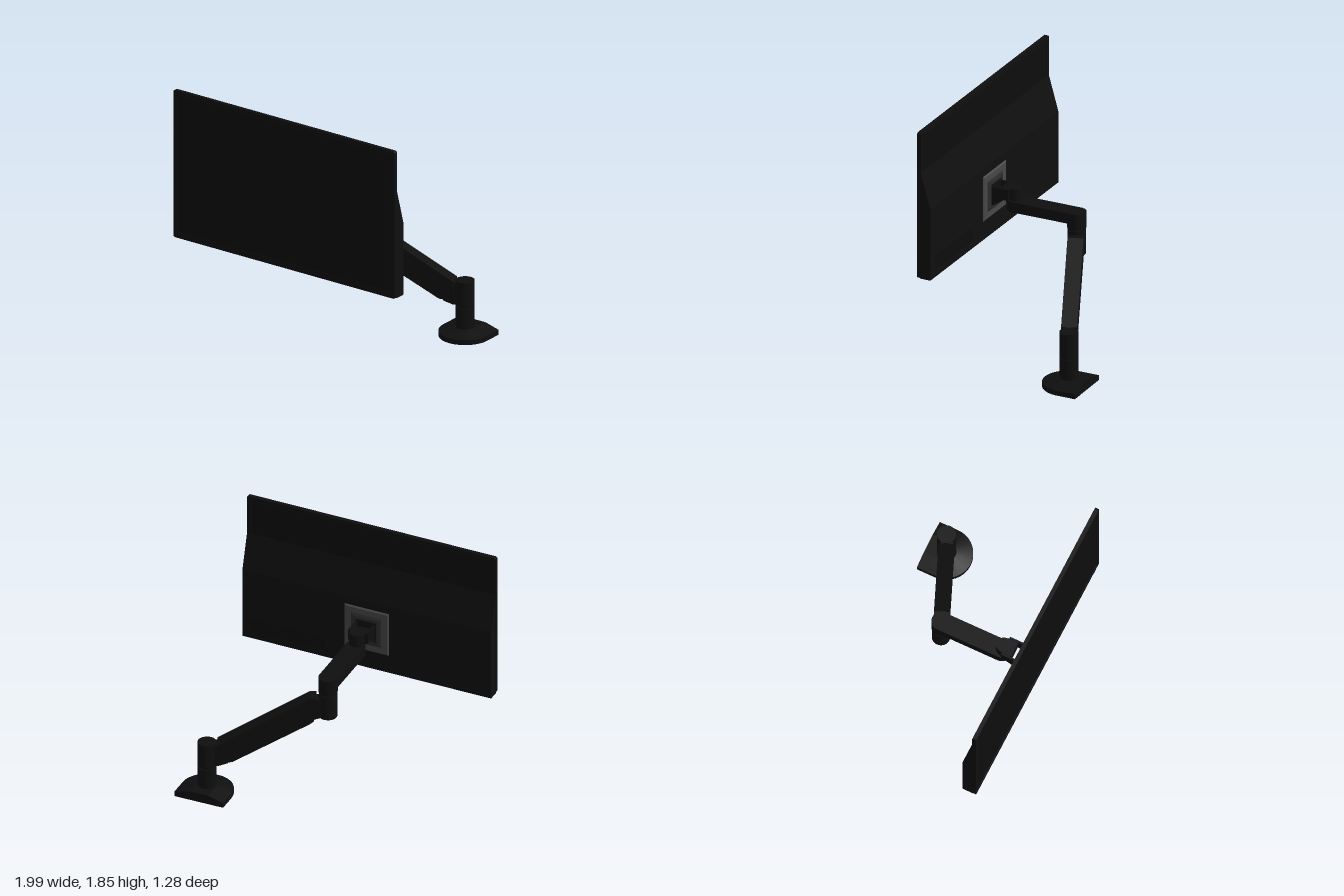
import * as THREE from 'three';
import { toCreasedNormals } from 'three/addons/utils/BufferGeometryUtils.js';
import { ConvexGeometry } from 'three/addons/geometries/ConvexGeometry.js';

const mat = (name, color) => {
  const m = new THREE.MeshStandardMaterial({ color });
  m.name = name;
  return m;
};

export function createModel() {
  const black = mat('black plastic', 0x0f0f0f);
  const screenBlack = mat('screen black', 0x0d0d0d);
  const grey = mat('plate grey', 0x484848);
  const darkGrey = mat('plate dark grey', 0x2c2c2c);

  const model = new THREE.Group();
  model.name = 'monitorOnArm';

  const add = (parent, name, geo, material, x = 0, y = 0, z = 0) => {
    const mesh = new THREE.Mesh(geo, material);
    mesh.name = name;
    mesh.position.set(x, y, z);
    parent.add(mesh);
    return mesh;
  };
  const poly = (pts) => new THREE.Shape(pts.map(([a, b]) => new THREE.Vector2(a, b)));
  const extrude = (shape, depth) =>
    new THREE.ExtrudeGeometry(shape, { depth, bevelEnabled: false, curveSegments: 16 });
  // side profile given as (-z, y), extruded across x and centred on it
  const sideways = (pts, width) => extrude(poly(pts), width).translate(0, 0, -width / 2).rotateY(Math.PI / 2);
  const box = (w, h, d) => new THREE.BoxGeometry(w, h, d);
  const post = (parent, name, r, y0, y1, x, z) =>
    add(parent, name, new THREE.CylinderGeometry(r, r, y1 - y0, 40), black, x, (y0 + y1) / 2, z);

  const roundedRect = (x0, y0, x1, y1, r) => {
    const s = new THREE.Shape();
    s.absarc(x1 - r, y0 + r, r, -Math.PI / 2, 0);
    s.absarc(x1 - r, y1 - r, r, 0, Math.PI / 2);
    s.absarc(x0 + r, y1 - r, r, Math.PI / 2, Math.PI);
    s.absarc(x0 + r, y0 + r, r, Math.PI, Math.PI * 1.5);
    return s;
  };

  // ---- Monitor, turned slightly; its front face is local z = 0
  const monitor = new THREE.Group();
  monitor.name = 'monitor';
  monitor.position.set(-0.005, 0, 0.618);
  monitor.rotation.y = -0.018;
  model.add(monitor);

  const frame = roundedRect(-0.994, 0.7, 0.994, 1.845, 0.015);
  frame.holes.push(poly([[-0.96, 0.745], [-0.96, 1.81], [0.96, 1.81], [0.96, 0.745]]));
  add(monitor, 'bezel', extrude(frame, 0.03), black, 0, 0, -0.03);
  add(monitor, 'screen', box(1.93, 1.075, 0.024), screenBlack, 0, 1.2775, -0.016);
  add(monitor, 'rearHousing',
    sideways([[0.025, 0.7], [0.107, 0.7], [0.107, 1.26], [0.03, 1.53], [0.025, 1.53]], 1.986), black);
  add(monitor, 'powerButton', box(0.03, 0.008, 0.004), screenBlack, 0.92, 0.715, 0.001);
  add(monitor, 'portPanel',
    extrude(poly([[0.3, 0.76], [0.93, 0.76], [0.93, 0.87], [0.36, 0.87]]), 0.003), screenBlack, 0, 0, -0.109);

  // ---- Mounting plate on the back of the monitor
  const plate = (half, halfBack, depth) => {
    const pts = [];
    for (const [h, z] of [[half, 0], [halfBack, -depth]])
      for (const sx of [-1, 1]) for (const sy of [-1, 1]) pts.push(new THREE.Vector3(sx * h, sy * h, z));
    return new ConvexGeometry(pts);
  };
  add(monitor, 'mountingPlate', plate(0.178, 0.165, 0.01), grey, 0, 1.02, -0.106);
  add(monitor, 'mountingPlateRaise', plate(0.12, 0.1, 0.008), darkGrey, 0, 1.02, -0.116);
  add(monitor, 'mountingPlateCentre', plate(0.08, 0.08, 0.006), black, 0, 1.02, -0.123);

  // ---- Tilt head: swivel post, block and two fork cheeks
  post(model, 'headPost', 0.055, 0.99, 1.088, 0, 0.345);
  add(model, 'tiltBlock', box(0.12, 0.085, 0.085), black, 0, 1.043, 0.39);
  for (const side of [-1, 1])
    add(model, 'forkCheek',
      sideways([[-0.5, 0.945], [-0.48, 0.945], [-0.4, 1.0], [-0.36, 1.0], [-0.36, 1.085], [-0.5, 1.085]], 0.014),
      black, side * 0.069);
  add(model, 'tiltPin', new THREE.CylinderGeometry(0.03, 0.03, 0.15, 24).rotateZ(Math.PI / 2), black, 0, 1.043, 0.405);

  // ---- Forearm with round ends, swivelling on the elbow
  const plan = new THREE.Shape();
  plan.absarc(0, 0.155, 0.07, 0, Math.PI);
  plan.absarc(0, -0.33, 0.07, Math.PI, Math.PI * 2);
  add(model, 'forearm', toCreasedNormals(extrude(plan, 0.08).rotateX(-Math.PI / 2), 0.6), black, 0, 0.915, 0);
  post(model, 'elbowCollar', 0.07, 0.872, 0.92, 0, -0.155);
  post(model, 'elbowNeck', 0.06, 0.855, 0.875, 0, -0.155);
  post(model, 'elbowBarrel', 0.067, 0.667, 0.858, 0, -0.155);

  // ---- Sloping arm, drawn from the elbow axis (s = 0) to the base post (s = 0.867)
  const arm = new THREE.Group();
  arm.name = 'slopingArm';
  arm.position.set(0, 0, -0.155);
  arm.rotation.y = 0.396;
  model.add(arm);
  const armPart = (name, pts, width) => add(arm, name, extrude(poly(pts), width), black, 0, 0, -width / 2);
  armPart('armTopCover', [[0.085, 0.7], [0.75, 0.315], [0.8, 0.315], [0.8, 0.43], [0.13, 0.838], [0.085, 0.838]], 0.116);
  armPart('armLowerShell', [[0.1, 0.645], [0.13, 0.62], [0.69, 0.288], [0.75, 0.282], [0.76, 0.4], [0.1, 0.78]], 0.1);
  armPart('armElbowLug', [[0, 0.69], [0.13, 0.645], [0.13, 0.82], [0, 0.82]], 0.09);
  armPart('armBaseLug', [[0.72, 0.275], [0.79, 0.25], [0.867, 0.25], [0.867, 0.42], [0.72, 0.42]], 0.09);

  // ---- Base post
  const [bx, bz] = [0.803, -0.495];
  post(model, 'upperPost', 0.069, 0.235, 0.43, bx, bz);
  post(model, 'postGap', 0.06, 0.22, 0.24, bx, bz);
  post(model, 'lowerPost', 0.069, 0.06, 0.225, bx, bz);

  // ---- Base foot: round at the front, straight at the back, sloping up to the post
  const dRing = (r, y) => {
    const pts = [new THREE.Vector3(-r, y, -0.145), new THREE.Vector3(r, y, -0.145)];
    for (let i = 0; i <= 32; i++) {
      const a = (i / 32) * Math.PI;
      pts.push(new THREE.Vector3(r * Math.cos(a), y, r * Math.sin(a)));
    }
    return pts;
  };
  const foot = new ConvexGeometry([...dRing(0.193, 0), ...dRing(0.193, 0.038), ...dRing(0.075, 0.07)]);
  add(model, 'baseFoot', toCreasedNormals(foot, 0.25), black, bx, 0, bz);

  return model;
}
